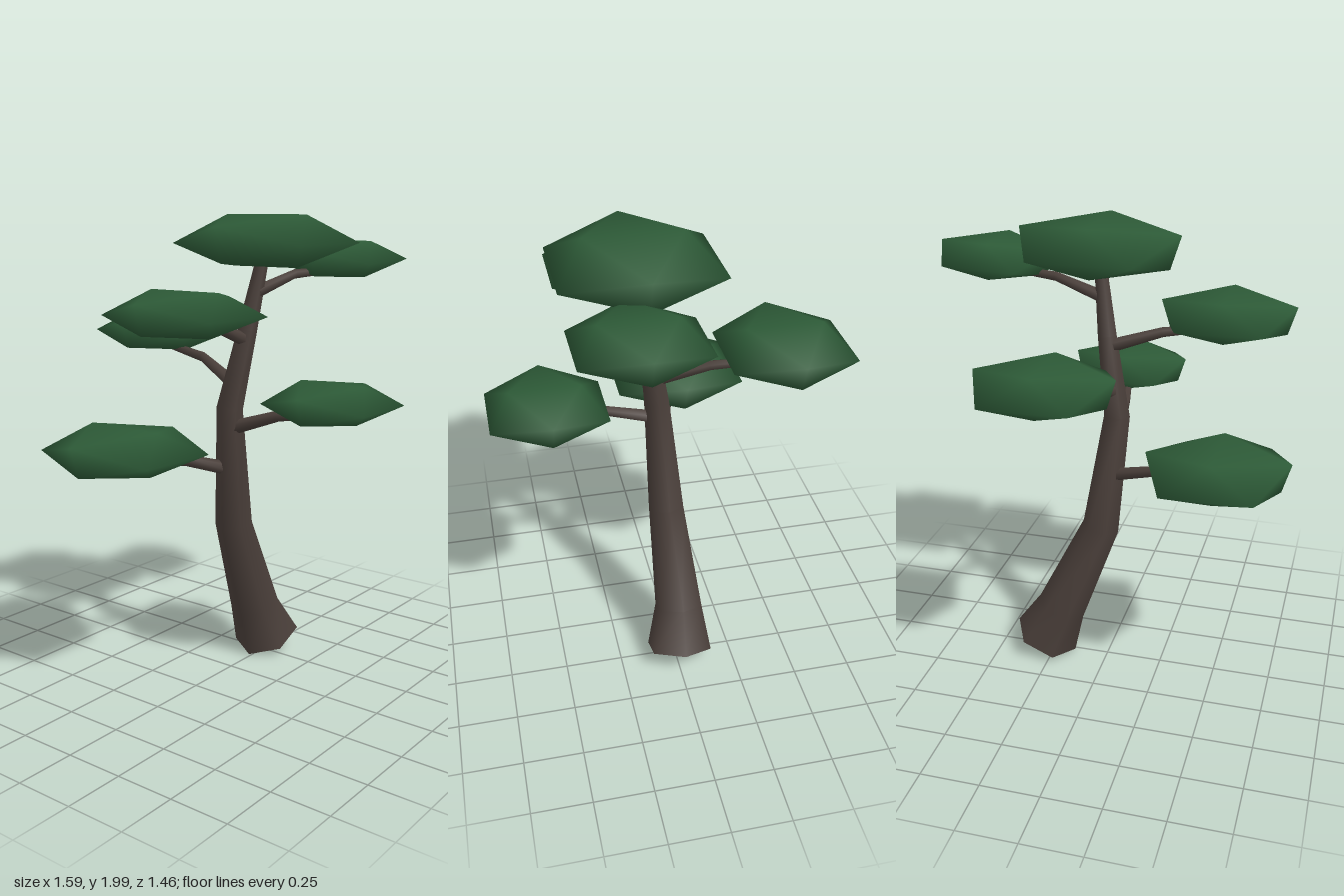
import * as THREE from 'three';
import { mergeVertices } from 'three/addons/utils/BufferGeometryUtils.js';

const SIDES = 6;

// Six-sided limb lofted through rows of [x, y, z, radius], capped at both ends
function limbGeometry(rows) {
  const pts = rows.map(r => new THREE.Vector3(r[0], r[1], r[2]));
  const pos = [], index = [];
  const last = rows.length - 1;
  const rings = pts.map((p, i) => {
    const t = new THREE.Vector3();
    if (i > 0) t.add(p.clone().sub(pts[i - 1]).normalize());
    if (i < last) t.add(pts[i + 1].clone().sub(p).normalize());
    t.normalize();
    const ref = Math.abs(t.z) < 0.7 ? new THREE.Vector3(0, 0, 1) : new THREE.Vector3(1, 0, 0);
    const u = ref.cross(t).normalize();
    const v = t.clone().cross(u);
    return Array.from({ length: SIDES }, (_, j) => {
      const a = (j / SIDES) * Math.PI * 2;
      return p.clone()
        .addScaledVector(u, Math.cos(a) * rows[i][3])
        .addScaledVector(v, Math.sin(a) * rows[i][3]);
    });
  });
  rings.forEach(ring => ring.forEach(q => pos.push(q.x, q.y, q.z)));
  for (let i = 0; i < last; i++) {
    for (let j = 0; j < SIDES; j++) {
      const k = (j + 1) % SIDES;
      const a = i * SIDES + j, b = i * SIDES + k;
      index.push(a, b, b + SIDES, a, b + SIDES, a + SIDES);
    }
  }
  // End caps use their own corners so the rim stays sharp
  for (const end of [0, last]) {
    const base = pos.length / 3;
    rings[end].forEach(q => pos.push(q.x, q.y, q.z));
    for (let j = 1; j < SIDES - 1; j++) {
      if (end === 0) index.push(base, base + j + 1, base + j);
      else index.push(base, base + j, base + j + 1);
    }
  }
  const g = new THREE.BufferGeometry();
  g.setAttribute('position', new THREE.Float32BufferAttribute(pos, 3));
  g.setIndex(index);
  g.computeVertexNormals();
  return g;
}

// Squashed icosahedron with a narrower, flattened underside; unit half-width
function padGeometry() {
  let g = new THREE.IcosahedronGeometry(1, 0);
  g.deleteAttribute('normal');
  g.deleteAttribute('uv');
  g = mergeVertices(g, 1e-4);
  g.rotateY(Math.PI / 2);
  const p = g.attributes.position;
  const widest = 0.85065;
  for (let i = 0; i < p.count; i++) {
    let x = p.getX(i) / widest, y = p.getY(i) / widest, z = p.getZ(i) / widest;
    if (y < -0.1) {
      x *= 0.87;
      z *= 0.78;
      y = Math.max(y, -0.84);
    }
    p.setXYZ(i, x, y * 0.335, z);
  }
  g.computeVertexNormals();
  return g;
}

export function createModel() {
  const tree = new THREE.Group();
  tree.name = 'tree';
  const bark = new THREE.MeshStandardMaterial({ color: 0x4a3f3a });
  bark.name = 'bark';
  const foliage = new THREE.MeshStandardMaterial({ color: 0x2d5a37 });
  foliage.name = 'foliage';

  const add = (name, geometry, material) => {
    const mesh = new THREE.Mesh(geometry, material);
    mesh.name = name;
    tree.add(mesh);
    return mesh;
  };

  // Leaning trunk with a flared, tilted foot
  add('trunk', limbGeometry([
    [0.29, 0.072, -0.013, 0.15],
    [0.21, 0.25, -0.026, 0.11],
    [0.028, 0.68, -0.008, 0.081],
    [-0.036, 1.2, 0.02, 0.056],
    [0.02, 1.53, 0.07, 0.041],
    [0.065, 1.85, 0.12, 0.025],
  ]), bark);

  // Branches reaching into the foliage pads
  const branches = {
    lowerRightBranch: [[-0.01, 0.93, 0.0, 0.03], [-0.23, 1.0, -0.06, 0.024], [-0.46, 1.03, -0.14, 0.016]],
    frontBranch: [[-0.035, 1.12, 0.04, 0.03], [-0.015, 1.19, 0.25, 0.023], [0.02, 1.22, 0.46, 0.016]],
    backBranch: [[-0.02, 1.31, 0.02, 0.03], [0.05, 1.39, -0.19, 0.022], [0.11, 1.42, -0.44, 0.016]],
    upperRightBranch: [[0.01, 1.49, 0.06, 0.029], [-0.21, 1.56, 0.09, 0.021], [-0.44, 1.59, 0.13, 0.015]],
    leftBranch: [[0.04, 1.685, 0.1, 0.028], [0.26, 1.75, 0.14, 0.02], [0.5, 1.76, 0.19, 0.014]],
  };
  for (const [name, rows] of Object.entries(branches)) add(name, limbGeometry(rows), bark);

  // Foliage pads: [x, y, z, half width, half depth, roll]
  const pads = {
    crownPad: [0.07, 1.884, 0.125, 0.343, 0.319, 0.005],
    leftPad: [0.54, 1.8, 0.2, 0.254, 0.238, 0.04],
    upperRightPad: [-0.472, 1.63, 0.14, 0.278, 0.263, -0.01],
    lowerRightPad: [-0.5, 1.07, -0.155, 0.298, 0.285, -0.02],
    backPad: [0.12, 1.482, -0.475, 0.281, 0.256, -0.01],
    frontPad: [0.02, 1.26, 0.49, 0.255, 0.239, 0],
  };
  const pad = padGeometry();
  for (const [name, [x, y, z, rx, rz, roll]] of Object.entries(pads)) {
    const mesh = add(name, pad, foliage);
    mesh.position.set(x, y, z);
    mesh.scale.set(rx, rx, rz);
    mesh.rotation.z = roll;
  }
  return tree;
}
